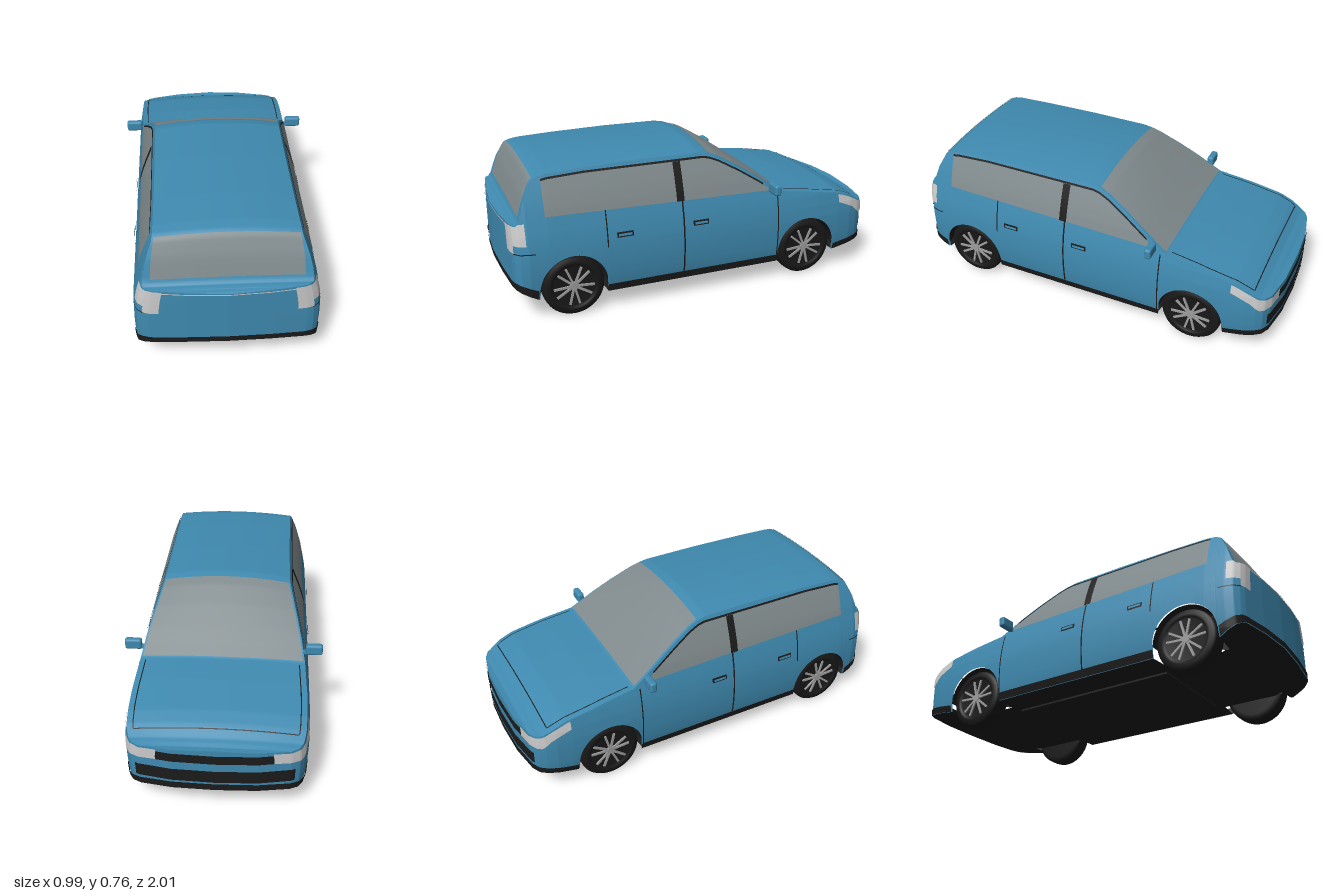
import * as THREE from 'three';
import { RoundedBoxGeometry } from 'three/addons/geometries/RoundedBoxGeometry.js';

const paint = (name, color, side = THREE.FrontSide) => {
  const m = new THREE.MeshStandardMaterial({ color, side });
  m.name = name;
  return m;
};

// Piecewise-linear lookup: knots are [key, value]
function lerpTable(knots, t) {
  if (t <= knots[0][0]) return knots[0][1];
  for (let i = 1; i < knots.length; i++) {
    const [a, p] = knots[i - 1], [b, q] = knots[i];
    if (t <= b) return p + (q - p) * (t - a) / (b - a);
  }
  return knots[knots.length - 1][1];
}

// Plan outline: u runs from the nose centre, along the flank, to the tail centre
const PLAN = [[-1.4, 0, -1], [-1.2, .2, -.992], [-1.05, .35, -.965], [-1, .39, -.943], [-.95, .41, -.91], [-.87, .425, -.86],
  [-.78, .434, -.78], [-.65, .44, -.65], [.8, .44, .8], [.9, .433, .9], [.95, .42, .94], [.99, .395, .962], [1.03, .365, .972],
  [1.2, .2, .99], [1.4, 0, 1]];
const PLAN_X = PLAN.map(p => [p[0], p[1]]), PLAN_Z = PLAN.map(p => [p[0], p[2]]);
// Half-width by height
const WIDTH = [[.1, .422], [.15, .433], [.2, .438], [.26, .44], [.32, .439], [.38, .433], [.44, .422], [.5, .406], [.56, .39],
  [.62, .369], [.68, .345], [.73, .324]];
// Height of the upper edge, and how far the centreline rises above it
const EDGE = [[-1.4, .375], [-1.05, .365], [-.97, .372], [-.9, .395], [-.8, .43], [-.6, .465], [-.44, .487], [-.38, .525],
  [-.3, .578], [-.2, .64], [-.1, .695], [-.05, .715], [0, .725], [.3, .728], [.6, .722], [.78, .714], [.83, .706], [.86, .69],
  [.9, .61], [.94, .512], [.96, .497], [1.4, .488]];
const CROWN = [[-1.4, 0], [-1.05, .005], [-.9, .022], [-.6, .018], [-.44, .01], [-.3, .016], [-.1, .03], [0, .03], [.6, .026],
  [.84, .02], [.94, .005], [1.05, 0]];
const AXLES = [-.585, .69], WHEEL_R = .155, ARCH_R = .168;

const zAt = u => lerpTable(PLAN_Z, u);
const edgeY = u => lerpTable(EDGE, u);
const baseY = u => lerpTable([[-1, .15], [-.75, .11], [-.7, .1], [.82, .1], [.87, .12], [1, .195]], zAt(u));
const archAt = u => AXLES.find(c => Math.abs(zAt(u) - c) < ARCH_R);
function lowerY(u) {
  const c = archAt(u);
  return c === undefined ? baseY(u) : WHEEL_R + Math.sqrt(ARCH_R ** 2 - (zAt(u) - c) ** 2);
}

// Point on the flank, pushed outward by off
function flank(u, y, off = 0) {
  const k = lerpTable(WIDTH, y) / .44, e = .015;
  const a = Math.max(-1.4, u - e), b = Math.min(1.4, u + e);
  const dx = lerpTable(PLAN_X, b) - lerpTable(PLAN_X, a), dz = zAt(b) - zAt(a), l = Math.hypot(dx, dz);
  const x = lerpTable(PLAN_X, u) * k;
  return [x < 1e-6 ? 0 : x + off * dz / l, y, zAt(u) - off * dx / l];
}
// Point on the hood, glass and roof; w runs from 1 (left) to -1 (right)
function upper(u, w, off = 0) {
  const y = edgeY(u), x = flank(u, y)[0];
  return [x * w, y + lerpTable(CROWN, u) * (1 - w * w) + off, zAt(u)];
}

// Surface from f(s, t), s and t in 0..1; optionally mirrored to the other flank
function surface(f, nu, nv, mirror = false) {
  const pos = [], idx = [];
  for (const s of mirror ? [1, -1] : [1]) {
    const start = pos.length / 3;
    for (let i = 0; i <= nu; i++) for (let j = 0; j <= nv; j++) {
      const p = f(i / nu, j / nv);
      pos.push(p[0] * s, p[1], p[2]);
    }
    for (let i = 0; i < nu; i++) for (let j = 0; j < nv; j++) {
      const a = start + i * (nv + 1) + j, b = a + 1, c = a + nv + 1, d = c + 1;
      if (s > 0) idx.push(a, b, c, b, d, c);
      else idx.push(a, c, b, b, c, d);
    }
  }
  const g = new THREE.BufferGeometry();
  g.setAttribute('position', new THREE.Float32BufferAttribute(pos, 3));
  g.setIndex(idx);
  g.computeVertexNormals();
  return g;
}

export function createModel() {
  const car = new THREE.Group();
  car.name = 'car';
  const blue = paint('blue paint', 0x3f8ab0), black = paint('black trim', 0x1b1b1b, THREE.DoubleSide);
  const glass = paint('grey glass', 0x808a8c), lamp = paint('pale lamp', 0xcacaca);
  const rubber = paint('tyre rubber', 0x181818), alloy = paint('alloy', 0x9c9c9c);

  const add = (name, geo, mat, parent = car) => {
    const m = new THREE.Mesh(geo, mat);
    m.name = name;
    parent.add(m);
    return m;
  };
  const val = (v, u) => typeof v === 'function' ? v(u) : v;
  // Thin skins that follow the flanks (both sides) or the upper surface
  const skin = (name, mat, u0, u1, lo, hi, off = .005) => add(name, surface((s, t) => {
    const u = u0 + (u1 - u0) * s, a = val(lo, u), b = val(hi, u);
    return flank(u, a + (b - a) * t, off);
  }, Math.max(2, Math.ceil((u1 - u0) / .01)), 10, true), mat);
  const topSkin = (name, mat, u0, u1, w0, w1, off = .004) => add(name, surface((s, t) => {
    const u = u0 + (u1 - u0) * s, a = val(w0, u), b = val(w1, u);
    return upper(u, a + (b - a) * t, off);
  }, Math.max(2, Math.ceil((u1 - u0) / .01)), 16), mat);

  // Body shell
  add('bodySides', surface((s, t) => {
    const u = -1.4 + 2.8 * s, lo = lowerY(u);
    return flank(u, lo + (edgeY(u) - lo) * t);
  }, 560, 16, true), blue);
  add('hoodAndRoof', surface((s, t) => upper(-1.4 + 2.8 * s, 1 - 2 * t), 280, 16), blue);
  add('floor', surface((s, t) => {
    const u = -1.4 + 2.8 * s, y = baseY(u), p = flank(u, y);
    return [(archAt(u) === undefined ? p[0] : .31) * (2 * t - 1), y, p[2]];
  }, 280, 2), black);
  add('underTray', new THREE.BoxGeometry(.52, .02, .9), black).position.set(0, .1, .05);

  // Glass
  topSkin('windshield', glass, -.435, -.05, .975, -.975);
  const rearHalf = u => lerpTable([[.85, .98], [.935, .9]], u);
  topSkin('rearWindow', glass, .848, .937, rearHalf, u => -rearHalf(u));
  const belt = u => lerpTable([[-.37, .503], [.81, .527]], u);
  const windowTop = u => Math.max(belt(u), Math.min(.7, edgeY(u) - .022));
  skin('sideWindows', glass, -.375, .81, belt, windowTop);
  skin('windowPillar', black, .11, .15, belt, windowTop, .008);
  skin('roofRail', black, -.33, .81, windowTop, u => windowTop(u) + .01, .006);

  // Lower trim
  skin('sillTrim', black, AXLES[0] + ARCH_R, AXLES[1] - ARCH_R, baseY, .14);
  skin('frontLip', black, -1.4, -.76, baseY, u => baseY(u) + .035);
  skin('rearBumperTrim', black, .865, 1.4, baseY, u => baseY(u) + lerpTable([[.87, .05], [1.05, .03]], u));

  // Nose and tail details
  skin('headlights', lamp, -1.13, -.78,
    u => lerpTable([[-1.13, .305], [-.97, .3], [-.9, .34], [-.78, .385]], u), u => edgeY(u) - .006);
  skin('upperGrille', black, -1.4, -1.13, .305, .352);
  skin('lowerGrille', black, -1.4, -1.03, .195, .262);
  skin('tailLightsOuter', lamp, .91, .99, .4, u => Math.min(.505, edgeY(u) - .004));
  skin('tailLightsInner', lamp, .99, 1.075, .362, u => edgeY(u) - .002);
  skin('tailgateStrip', lamp, 1.075, 1.4, .482, .487);

  // Panel gaps
  skin('doorGap', black, .116, .124, .14, .515, .003);
  skin('frontDoorGap', black, -.413, -.407, .14, .48, .003);
  skin('rearDoorGap', black, .515, .521, .34, .52, .003);
  skin('bumperGap', black, .87, 1.0, .357, .362, .003);
  topSkin('hoodFrontGap', black, -.915, -.908, .93, -.93, .003);
  for (const s of [1, -1]) topSkin('hoodSideGap', black, -.908, -.46, s * .93 + .006, s * .93 - .006, .003);

  // Door handles
  for (const z of [.43, .03]) {
    skin('handleSurround', black, z - .042, z + .042, .383, .409, .008);
    skin('handle', blue, z - .034, z + .034, .39, .402, .012);
  }

  for (const s of [1, -1]) {
    // Mirrors
    add('mirror', new RoundedBoxGeometry(.085, .056, .036, 3, .012), blue).position.set(s * .4545, .525, -.372);
    add('mirrorStem', new THREE.BoxGeometry(.04, .016, .02), blue).position.set(s * .405, .508, -.372);

    for (const z of AXLES) {
      // Wheel wells
      const liner = add('archLiner', new THREE.CylinderGeometry(ARCH_R, ARCH_R, .12, 32, 1, true, 0, Math.PI), black);
      liner.rotation.z = Math.PI / 2;
      liner.position.set(s * .37, WHEEL_R, z);
      const wall = add('archInnerWall', new THREE.CircleGeometry(ARCH_R, 32, -.33, Math.PI + .66), black);
      wall.rotation.y = Math.PI / 2;
      wall.position.set(s * .31, WHEEL_R, z);

      // Wheels, built along y and turned outward
      const wheel = new THREE.Group();
      wheel.name = z < 0 ? 'frontWheel' : 'rearWheel';
      const profile = [[0, -.05], [.125, -.05], [.145, -.046], [.153, -.036], [.155, -.02], [.155, .02], [.153, .036], [.145, .046],
        [.125, .05], [.112, .05], [.106, .038], [0, .038]].map(p => new THREE.Vector2(...p));
      add('tyre', new THREE.LatheGeometry(profile, 48), rubber, wheel);
      add('hub', new THREE.CylinderGeometry(.02, .022, .012, 20), alloy, wheel).position.y = .043;
      for (let i = 0; i < 10; i++) {
        const pivot = new THREE.Group();
        pivot.name = 'spokePivot';
        pivot.rotation.y = Math.floor(i / 2) * Math.PI * .4 + (i % 2 ? .24 : -.24);
        add('spoke', new THREE.BoxGeometry(.088, .008, .011), alloy, pivot).position.set(.058, .043, 0);
        wheel.add(pivot);
      }
      wheel.rotation.z = -s * Math.PI / 2;
      wheel.position.set(s * .374, WHEEL_R, z);
      car.add(wheel);
    }
  }
  return car;
}
